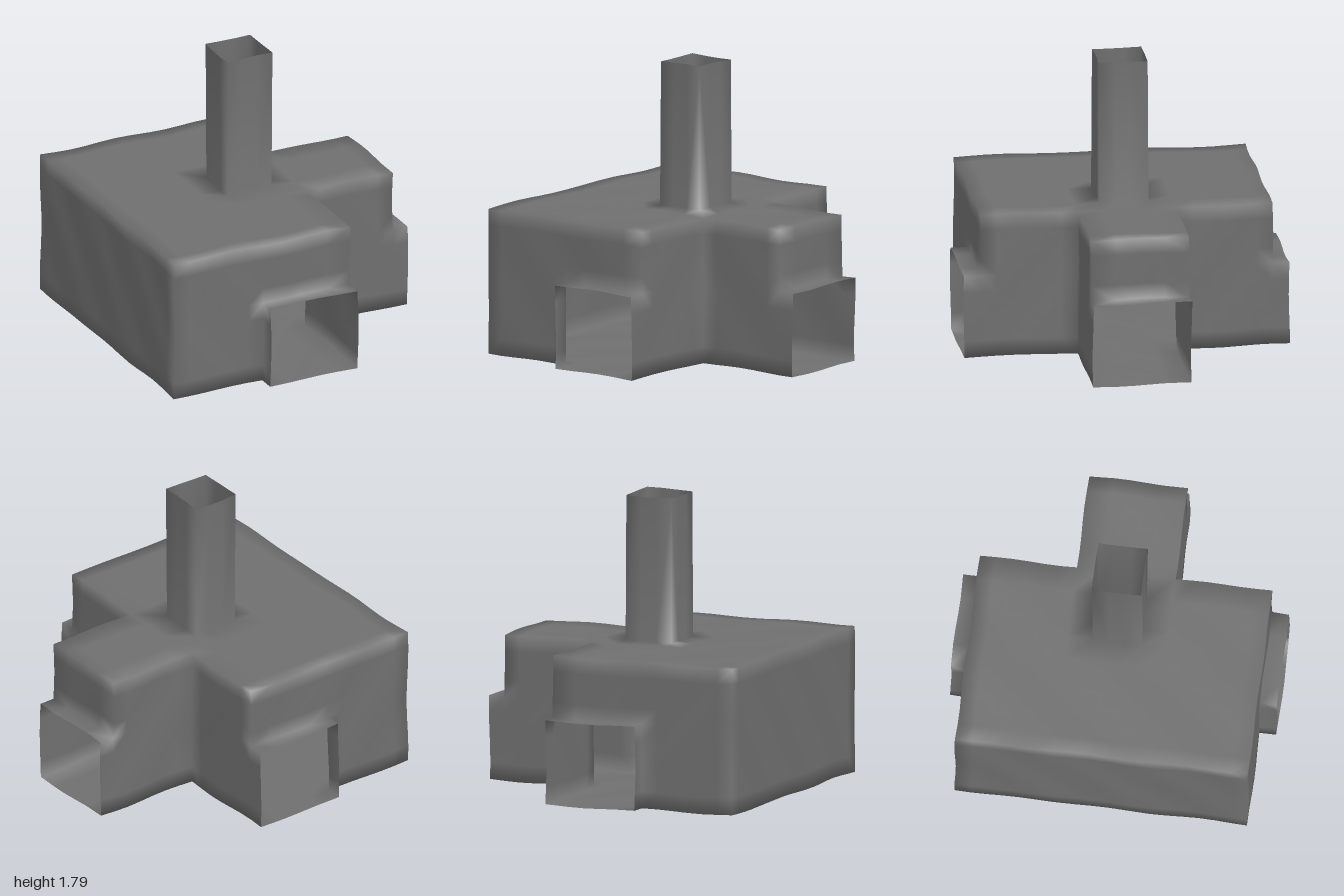
import * as THREE from 'three';

// Hollow parts of the shell as [min corner, max corner]
const PARTS = {
  mainRoom: [[-0.94, 0.012, -0.89], [0.25, 0.905, 0.89]],
  sideWing: [[0.25, 0.012, -0.3], [0.84, 0.905, 0.3]],
  frontDoorway: [[-0.34, 0.012, 0.89], [0.25, 0.525, 0.992]],
  backDoorway: [[-0.34, 0.012, -0.992], [0.25, 0.525, -0.89]],
  sideDoorway: [[0.84, 0.012, -0.3], [0.94, 0.525, 0.3]],
  chimney: [[-0.2, 0.905, -0.15], [0.1, 1.79, 0.15]],
};
const NAMES = Object.keys(PARTS);

// Faces left open: axis -> planes
const OPENINGS = [[0.94], [1.79], [-0.992, 0.992]];

// Every part boundary along one axis, subdivided to roughly 0.1;
// the long chimney span stays in one piece so its sides are straight
function gridLines(axis) {
  const stops = [...new Set(Object.values(PARTS).flatMap(([a, b]) => [a[axis], b[axis]]))].sort((p, q) => p - q);
  const lines = [stops[0]];
  for (let i = 1; i < stops.length; i++) {
    const span = stops[i] - stops[i - 1];
    const n = span > 0.8 ? 1 : Math.max(1, Math.round(span / 0.1));
    for (let k = 1; k <= n; k++) lines.push(k === n ? stops[i] : stops[i - 1] + span * k / n);
  }
  return lines;
}

// Slight hand-shaped unevenness
function wobble([x, y, z]) {
  return [
    x + 0.004 * Math.sin(9 * y + 11 * z + 1),
    y + 0.005 * Math.sin(10 * x + 8 * z),
    z + 0.004 * Math.sin(11 * x + 9 * y + 2),
  ];
}

export function createModel() {
  const grid = [0, 1, 2].map(gridLines);
  const partAt = (cell) => {
    if (cell.some((c, a) => c < 0 || c >= grid[a].length - 1)) return -1;
    const mid = cell.map((c, a) => (grid[a][c] + grid[a][c + 1]) / 2);
    return NAMES.findIndex((n) => mid.every((m, a) => m > PARTS[n][0][a] && m < PARTS[n][1][a]));
  };

  // Shared vertices, so shading flows softly around edges and joints
  const positions = [], lookup = new Map();
  const vertex = (idx) => {
    const key = idx.join();
    if (!lookup.has(key)) {
      lookup.set(key, positions.length / 3);
      positions.push(...wobble(idx.map((i, a) => grid[a][i])));
    }
    return lookup.get(key);
  };

  // Wall panels wherever hollow space meets the outside
  const faces = NAMES.map(() => []);
  for (let i = 0; i < grid[0].length - 1; i++)
    for (let j = 0; j < grid[1].length - 1; j++)
      for (let k = 0; k < grid[2].length - 1; k++) {
        const cell = [i, j, k], part = partAt(cell);
        if (part < 0) continue;
        for (let a = 0; a < 3; a++)
          for (const side of [0, 1]) {
            const next = [...cell];
            next[a] += side ? 1 : -1;
            if (partAt(next) >= 0 || OPENINGS[a].includes(grid[a][cell[a] + side])) continue;
            const corner = (du, dv) => {
              const c = [...cell];
              c[a] += side;
              c[(a + 1) % 3] += du;
              c[(a + 2) % 3] += dv;
              return vertex(c);
            };
            const q = [corner(0, 0), corner(1, 0), corner(1, 1), corner(0, 1)];
            if (!side) q.reverse();
            faces[part].push(q[0], q[1], q[2], q[0], q[2], q[3]);
          }
      }

  // Smooth normals over the whole shell, then one mesh per part
  const shell = new THREE.BufferGeometry();
  shell.setAttribute('position', new THREE.Float32BufferAttribute(positions, 3));
  shell.setIndex(faces.flat());
  shell.computeVertexNormals();

  const material = new THREE.MeshStandardMaterial({ color: 0x6f6f6f, side: THREE.DoubleSide });
  const group = new THREE.Group();
  group.name = 'chimneyHouse';
  NAMES.forEach((name, p) => {
    const part = new THREE.BufferGeometry();
    part.setAttribute('position', shell.getAttribute('position'));
    part.setAttribute('normal', shell.getAttribute('normal'));
    part.setIndex(faces[p]);
    const mesh = new THREE.Mesh(part.toNonIndexed(), material);
    mesh.name = name;
    group.add(mesh);
  });
  return group;
}
